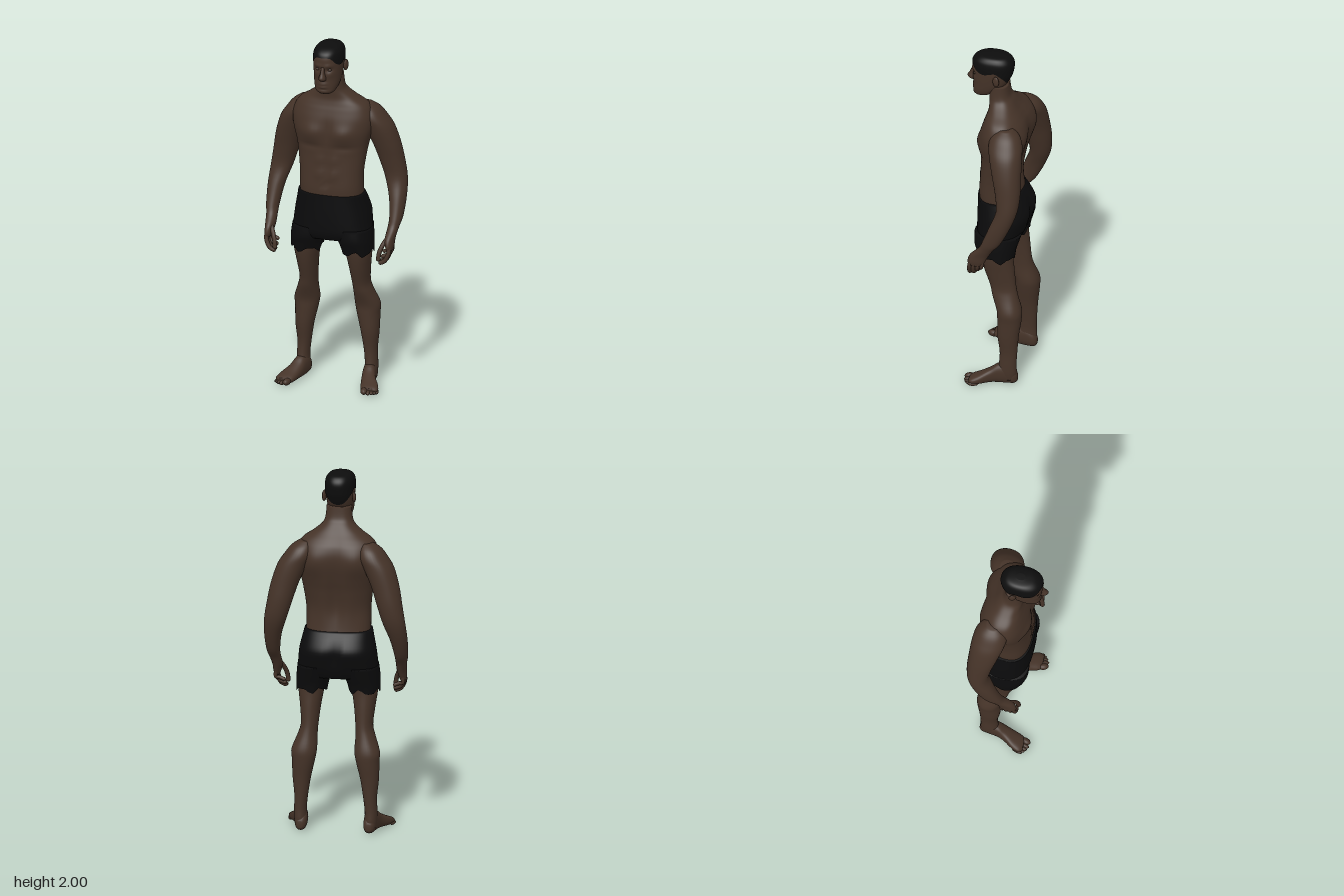
import * as THREE from 'three';

const skin = new THREE.MeshStandardMaterial({ color: 0x453328 });
skin.name = 'brown skin';
const hairMat = new THREE.MeshStandardMaterial({ color: 0x0d0d0d, side: THREE.DoubleSide });
hairMat.name = 'black hair';
const cloth = new THREE.MeshStandardMaterial({ color: 0x0b0b0c, side: THREE.DoubleSide });
cloth.name = 'black cloth';

// Smooth value of a list of rings at a fractional index
function sample(rings, t) {
  const last = rings.length - 1;
  const i = Math.min(Math.floor(t), last - 1), f = t - i;
  const at = k => rings[Math.max(0, Math.min(last, k))];
  return rings[0].map((_, c) => {
    const [a, b, d, e] = [at(i - 1)[c], at(i)[c], at(i + 1)[c], at(i + 2)[c]];
    return b + 0.5 * f * (d - a + f * (2 * a - 5 * b + 4 * d - e + f * (3 * (b - d) + e - a)));
  });
}

// Loft through rings [y, centre x, half width, front z, back z], listed bottom to top.
// bumps: [x, y, width, height, push in z, side (1 front, -1 back)], mirrored in x.
function loft(rings, { seg = 32, sub = 4, n = 2.2, bumps = [], start = () => 0, hem = () => 0, open = false } = {}) {
  const rows = (rings.length - 1) * sub, pos = [], index = [];
  const pow = v => Math.sign(v) * Math.abs(v) ** (2 / n);
  for (let i = 0; i <= rows; i++) for (let j = 0; j < seg; j++) {
    const a = (j / seg) * Math.PI * 2, t0 = start(a);
    const [y, cx, rx, zf, zb] = sample(rings, t0 + (rings.length - 1 - t0) * i / rows);
    const x = cx + rx * pow(Math.sin(a));
    let z = (zf + zb) / 2 + (zf - zb) / 2 * pow(Math.cos(a));
    for (const [bx, by, w, h, push, side] of bumps) {
      const facing = Math.max(0, Math.cos(a) * side) ** 0.5;
      z += push * facing * Math.exp(-(((Math.abs(x) - bx) / w) ** 2) - ((y - by) / h) ** 2);
    }
    pos.push(x, y + hem(a) * Math.max(0, 1 - i / sub), z);
  }
  for (let i = 0; i < rows; i++) for (let j = 0; j < seg; j++) {
    const k = (j + 1) % seg, a = i * seg + j, b = i * seg + k, c = a + seg, d = b + seg;
    index.push(a, b, d, a, d, c);
  }
  // End caps
  const cap = (row, top) => {
    const [y, cx, , zf, zb] = rings[top ? rings.length - 1 : 0];
    const m = pos.length / 3;
    pos.push(cx, y, (zf + zb) / 2);
    for (let j = 0; j < seg; j++) {
      const a = row * seg + j, b = row * seg + (j + 1) % seg;
      index.push(m, top ? a : b, top ? b : a);
    }
  };
  if (!open) cap(0, false);
  cap(rows, true);
  const g = new THREE.BufferGeometry();
  g.setAttribute('position', new THREE.Float32BufferAttribute(pos, 3));
  g.setIndex(index);
  g.computeVertexNormals();
  return g;
}

function add(parent, name, geometry, material = skin) {
  const mesh = new THREE.Mesh(geometry, material);
  mesh.name = name;
  parent.add(mesh);
  return mesh;
}

function ball(parent, name, [x, y, z], [rx, ry, rz], turn = 0) {
  const mesh = add(parent, name, new THREE.SphereGeometry(1, 16, 12));
  mesh.scale.set(rx, ry, rz);
  mesh.position.set(x, y, z);
  mesh.rotation.y = turn;
}

function digit(parent, name, points, r) {
  const path = new THREE.CatmullRomCurve3(points.map(p => new THREE.Vector3(...p)));
  add(parent, name, new THREE.TubeGeometry(path, 10, r, 10));
  ball(parent, name + 'Tip', points[points.length - 1], [r, r, r]);
}

const mirrored = (rings, s) => rings.map(([y, cx, ...rest]) => [y, cx * s, ...rest]);

function addHead(group) {
  const head = new THREE.Group();
  head.name = 'head';
  group.add(head);
  const skull = [
    [1.735, 0, .034, .143, .08], [1.75, 0, .053, .157, .05], [1.78, 0, .066, .158, .01], [1.82, 0, .073, .158, -.03],
    [1.87, 0, .077, .161, -.055], [1.9, 0, .078, .162, -.063], [1.94, 0, .077, .161, -.067],
    [1.968, 0, .07, .147, -.056], [1.988, 0, .051, .112, -.03], [1.995, 0, .015, .06, .02]];
  add(head, 'face', loft(skull, { seg: 64, sub: 6, n: 2.3, bumps: [
    [.034, 1.878, .018, .012, -.011, 1], [.032, 1.903, .026, .009, .005, 1], [.046, 1.85, .018, .016, .004, 1],
    [0, 1.796, .024, .006, .006, 1], [0, 1.778, .022, .006, .006, 1], [0, 1.764, .03, .006, -.004, 1]] }));
  // Hair shell, its lower edge given in skull ring numbers from brow to nape
  const edge = [[6.1], [6.05], [5.2], [4.8], [5.2], [4.1], [3.4], [3.1]];
  const shell = skull.map(([y, x, w, f, b]) => [y + .005, x, w + .004, f + .004, b - .004]);
  add(head, 'hair', loft(shell, { seg: 64, n: 2.3, open: true,
    start: a => sample(edge, Math.min(a, Math.PI * 2 - a) / Math.PI * 7)[0] }), hairMat);
  add(head, 'nose', loft([[1.815, 0, .009, .168, .14], [1.824, 0, .02, .186, .14], [1.838, 0, .019, .194, .14],
    [1.862, 0, .012, .18, .14], [1.895, 0, .01, .166, .14]], { seg: 20, n: 2 }));
  for (const s of [1, -1]) {
    ball(head, 'ear', [s * .083, 1.868, .01], [.01, .032, .02], s * -.3);
    ball(head, 'eye', [s * .034, 1.878, .143], [.013, .008, .008]);
  }
}

function addTorso(group) {
  add(group, 'torso', loft([
    [1.05, 0, .175, .1, -.13], [1.15, 0, .177, .11, -.11], [1.25, 0, .178, .104, -.1], [1.35, 0, .19, .098, -.12],
    [1.42, 0, .203, .1, -.14], [1.5, 0, .225, .098, -.158], [1.56, 0, .228, .094, -.16], [1.61, 0, .215, .08, -.147],
    [1.645, 0, .19, .068, -.126], [1.68, 0, .138, .06, -.1], [1.72, 0, .09, .062, -.074], [1.755, 0, .074, .065, -.052],
    [1.82, 0, .068, .07, -.042]], { seg: 72, sub: 5, n: 2.5, bumps: [
    [.095, 1.485, .075, .05, .021, 1], [.1, 1.405, .08, .016, -.007, 1], [0, 1.48, .016, .07, -.007, 1],
    [.04, 1.33, .03, .03, .006, 1], [.04, 1.25, .03, .03, .007, 1], [0, 1.27, .012, .09, -.005, 1], [0, 1.19, .014, .012, -.008, 1],
    [0, 1.38, .03, .2, .016, -1], [.12, 1.53, .06, .08, -.014, -1], [.07, 1.25, .04, .1, -.008, -1]] }));
}

function addShorts(group) {
  const shorts = new THREE.Group();
  shorts.name = 'shorts';
  group.add(shorts);
  add(shorts, 'shortsTrunk', loft([
    [.868, 0, .2, .1, -.125], [.9, 0, .222, .115, -.142], [.95, 0, .218, .118, -.16], [1.02, 0, .21, .118, -.175],
    [1.08, 0, .197, .117, -.15], [1.13, 0, .186, .116, -.115]], { seg: 56, n: 2.5,
    bumps: [[0, 1, .025, .07, .02, -1]] }), cloth);
  for (const s of [1, -1])
    add(shorts, 'shortsLeg', loft(mirrored([
      [.79, .146, .084, .088, -.113], [.83, .141, .089, .1, -.12], [.87, .133, .095, .112, -.132], [.93, .125, .096, .112, -.15]], s),
    { n: 2.4, open: true, hem: a => .012 * Math.sin(5 * a + s) + .006 * Math.sin(9 * a) }), cloth);
}

function addArm(group, s) {
  const arm = new THREE.Group();
  arm.name = s > 0 ? 'leftArm' : 'rightArm';
  group.add(arm);
  // Shoulder to palm
  add(arm, 'armAndPalm', loft(mirrored([
    [.835, .35, .014, .085, .01], [.86, .348, .021, .092, -.004], [.9, .345, .026, .078, -.025], [.95, .35, .03, .03, -.055],
    [1.0, .355, .036, .006, -.096], [1.1, .349, .047, -.032, -.146], [1.2, .329, .061, -.066, -.182],
    [1.3, .305, .069, -.055, -.192], [1.4, .279, .076, -.03, -.188], [1.5, .24, .083, -.002, -.182],
    [1.56, .205, .08, .01, -.172], [1.605, .187, .062, -.005, -.148], [1.635, .172, .035, -.04, -.11]], s), { seg: 36 }));
  // Curled fingers, little finger rearmost
  [[.01, .812], [.032, .79], [.054, .772], [.076, .768]].forEach(([z, tip], i) => digit(arm, 'finger', [
    [s * .35, .87, z - .004], [s * .352, .825, z + .004], [s * (.335 - i * .002), tip + .01, z + .009], [s * .308, tip, z + .008]],
  i === 0 ? .0105 : .0125));
  digit(arm, 'thumb', [[s * .342, .91, .04], [s * .318, .87, .072], [s * .302, .825, .09], [s * .298, .79, .094]], .0125);
}

function addLeg(group, s) {
  const leg = new THREE.Group();
  leg.name = s > 0 ? 'leftLeg' : 'rightLeg';
  group.add(leg);
  add(leg, 'thighAndCalf', loft(mirrored([
    [.03, .193, .032, -.05, -.138], [.07, .195, .035, -.035, -.142], [.12, .196, .034, -.043, -.14], [.2, .191, .037, -.046, -.143],
    [.3, .188, .05, -.033, -.15], [.4, .178, .063, -.03, -.162], [.46, .174, .069, -.026, -.162], [.54, .16, .053, .004, -.138],
    [.6, .151, .047, .02, -.125], [.7, .15, .057, .053, -.115], [.8, .147, .072, .075, -.106], [.92, .13, .08, .08, -.11]], s),
  { seg: 36 }));
  // Foot lofted from heel to ball, then laid along z
  add(leg, 'foot', loft(mirrored([
    [-.145, .19, .014, -.018, -.055], [-.13, .19, .029, -.004, -.085], [-.09, .193, .036, 0, -.12], [-.04, .2, .037, 0, -.115],
    [0, .211, .041, -.002, -.088], [.05, .232, .05, 0, -.062], [.09, .244, .05, 0, -.045], [.11, .244, .036, -.006, -.034]], s),
  { n: 2.4 }).rotateX(Math.PI / 2));
  // Toes, big toe innermost
  [[.222, .115, .019], [.245, .113, .013], [.262, .104, .012], [.275, .094, .0115], [.285, .082, .011]].forEach(([x, z, r]) =>
    ball(leg, 'toe', [s * x, r, z], [r, r, .03], s * .25));
}

export function createModel() {
  const group = new THREE.Group();
  group.name = 'athlete';
  addHead(group);
  addTorso(group);
  addShorts(group);
  for (const s of [1, -1]) {
    addArm(group, s);
    addLeg(group, s);
  }
  return group;
}
